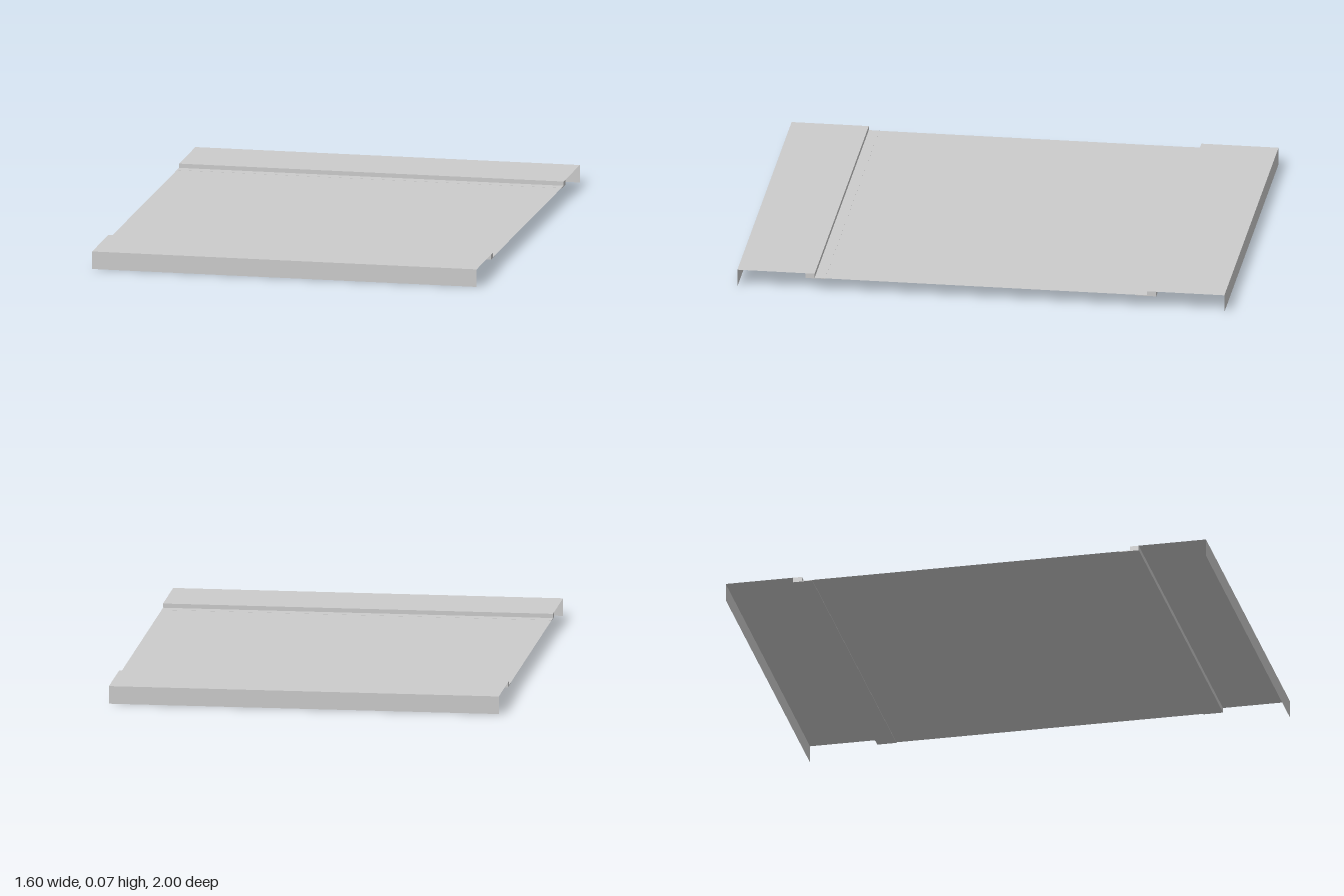
import * as THREE from 'three';

const HALF_WIDTH = 0.8;
const ROAD_Y = 0.055;
const WALK_Y = 0.073;

export function createModel() {
  const model = new THREE.Group();
  model.name = 'roadSection';
  const material = new THREE.MeshStandardMaterial({ color: 0xcccccc, side: THREE.DoubleSide, flatShading: true });

  const add = (parent, name, geometry, x, y, z) => {
    const mesh = new THREE.Mesh(geometry, material);
    mesh.name = name;
    mesh.position.set(x, y, z);
    parent.add(mesh);
  };

  // Flat upward-facing sheet between two x and two z limits
  const sheet = (parent, name, x0, x1, z0, z1, y) => {
    const geometry = new THREE.PlaneGeometry(x1 - x0, z1 - z0).rotateX(-Math.PI / 2);
    add(parent, name, geometry, (x0 + x1) / 2, y, (z0 + z1) / 2);
  };

  // Road surface between the gutters
  sheet(model, 'roadSurface', -HALF_WIDTH, HALF_WIDTH, -0.64, 0.64, ROAD_Y);

  // Slab joints along the pavement
  const joints = [-HALF_WIDTH, -0.533, 0, 0.533, HALF_WIDTH];

  // Front pavement; the back one is the same turned half around
  for (const [name, turn] of [['frontPavement', 0], ['backPavement', Math.PI]]) {
    const side = new THREE.Group();
    side.name = name;
    side.rotation.y = turn;
    model.add(side);

    // Shallow gutter strip running under a solid curb
    add(side, 'gutter', new THREE.BoxGeometry(2 * HALF_WIDTH, 0.003, 0.08), 0, ROAD_Y - 0.001, 0.68);
    const curbHeight = WALK_Y - ROAD_Y;
    add(side, 'curb', new THREE.BoxGeometry(2 * HALF_WIDTH, curbHeight, 0.037),
      0, ROAD_Y + curbHeight / 2, 0.7015);

    // Walkway border, then paving slabs with a skirt panel below each outer edge
    sheet(side, 'walkwayBorder', -HALF_WIDTH, HALF_WIDTH, 0.72, 0.8, WALK_Y);
    for (let i = 0; i < joints.length - 1; i++) {
      const x0 = joints[i], x1 = joints[i + 1];
      sheet(side, 'pavingSlab', x0, x1, 0.8, 1, WALK_Y);
      add(side, 'skirtPanel', new THREE.PlaneGeometry(x1 - x0, WALK_Y), (x0 + x1) / 2, WALK_Y / 2, 1);
    }
  }

  return model;
}
